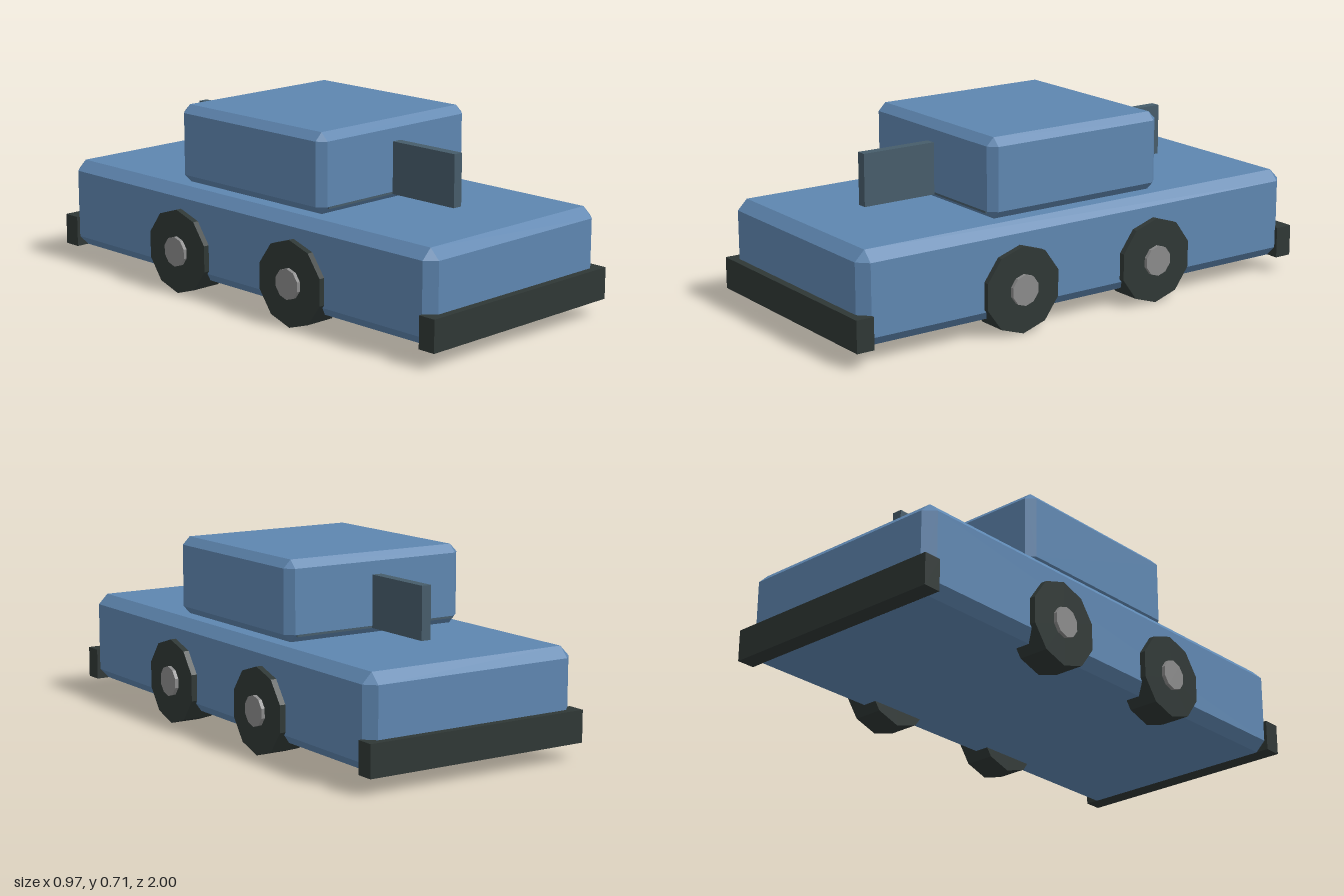
import * as THREE from 'three';
import { ConvexGeometry } from 'three/addons/geometries/ConvexGeometry.js';

const material = (name, color) => {
  const m = new THREE.MeshStandardMaterial({ color });
  m.name = name;
  return m;
};

// Box with every edge cut at 45 degrees; w, h, d are full sizes
function chamferedBox(w, h, d, c) {
  const points = [];
  for (const x of [-1, 1]) for (const y of [-1, 1]) for (const z of [-1, 1]) {
    const X = w / 2, Y = h / 2, Z = d / 2;
    points.push(
      new THREE.Vector3(x * X, y * (Y - c), z * (Z - c)),
      new THREE.Vector3(x * (X - c), y * Y, z * (Z - c)),
      new THREE.Vector3(x * (X - c), y * (Y - c), z * Z));
  }
  return new ConvexGeometry(points);
}

export function createModel() {
  const paint = material('blue paint', 0x5e86b0);
  const rubber = material('dark rubber', 0x2f3735);
  const glass = material('slate glass', 0x465c6a);
  const metal = material('grey metal', 0x8a8a8a);

  const car = new THREE.Group();
  car.name = 'car';
  const add = (name, geometry, mat, x, y, z, parent = car) => {
    const mesh = new THREE.Mesh(geometry, mat);
    mesh.name = name;
    mesh.position.set(x, y, z);
    parent.add(mesh);
    return mesh;
  };

  // Body and cabin
  add('body', chamferedBox(0.894, 0.346, 1.94, 0.039), paint, 0, 0.228, 0);
  add('cabin', chamferedBox(0.768, 0.298, 0.768, 0.03), paint, 0, 0.551, 0);

  const bumper = new THREE.BoxGeometry(0.92, 0.12, 0.07);
  const screen = new THREE.BoxGeometry(0.69, 0.197, 0.038);
  const fin = new THREE.BoxGeometry(0.039, 0.197, 0.685);

  // Tyre and hub, both turned so the axle runs along x
  const tyre = new THREE.CylinderGeometry(0.163, 0.163, 0.12, 10).toNonIndexed();
  const hub = new THREE.CylinderGeometry(0.058, 0.058, 0.135, 10).toNonIndexed();
  tyre.rotateY(Math.PI / 2).rotateZ(Math.PI / 2);
  hub.rotateZ(Math.PI / 2).rotateX(Math.PI / 2);
  tyre.computeVertexNormals();
  hub.computeVertexNormals();

  for (const end of [1, -1]) {
    const place = end > 0 ? 'front' : 'rear';
    add(place + 'Bumper', bumper, rubber, 0, 0.115, end * 0.965);
    // Window set into the cabin, with its lower edge showing at the chamfer
    add(place + 'Window', screen, glass, 0, 0.522, end * 0.3645);
    // Upright pane along the centre line
    add(place + 'CentrePane', fin, glass, 0, 0.522, end * 0.3425);

    for (const side of [1, -1]) {
      const wheel = new THREE.Group();
      wheel.name = place + (side > 0 ? 'Left' : 'Right') + 'Wheel';
      wheel.position.set(side * 0.41, 0.156, end * 0.307);
      add('tyre', tyre, rubber, 0, 0, 0, wheel);
      add('hub', hub, metal, side * 0.0065, 0.002, 0, wheel);
      car.add(wheel);
    }
  }
  return car;
}
